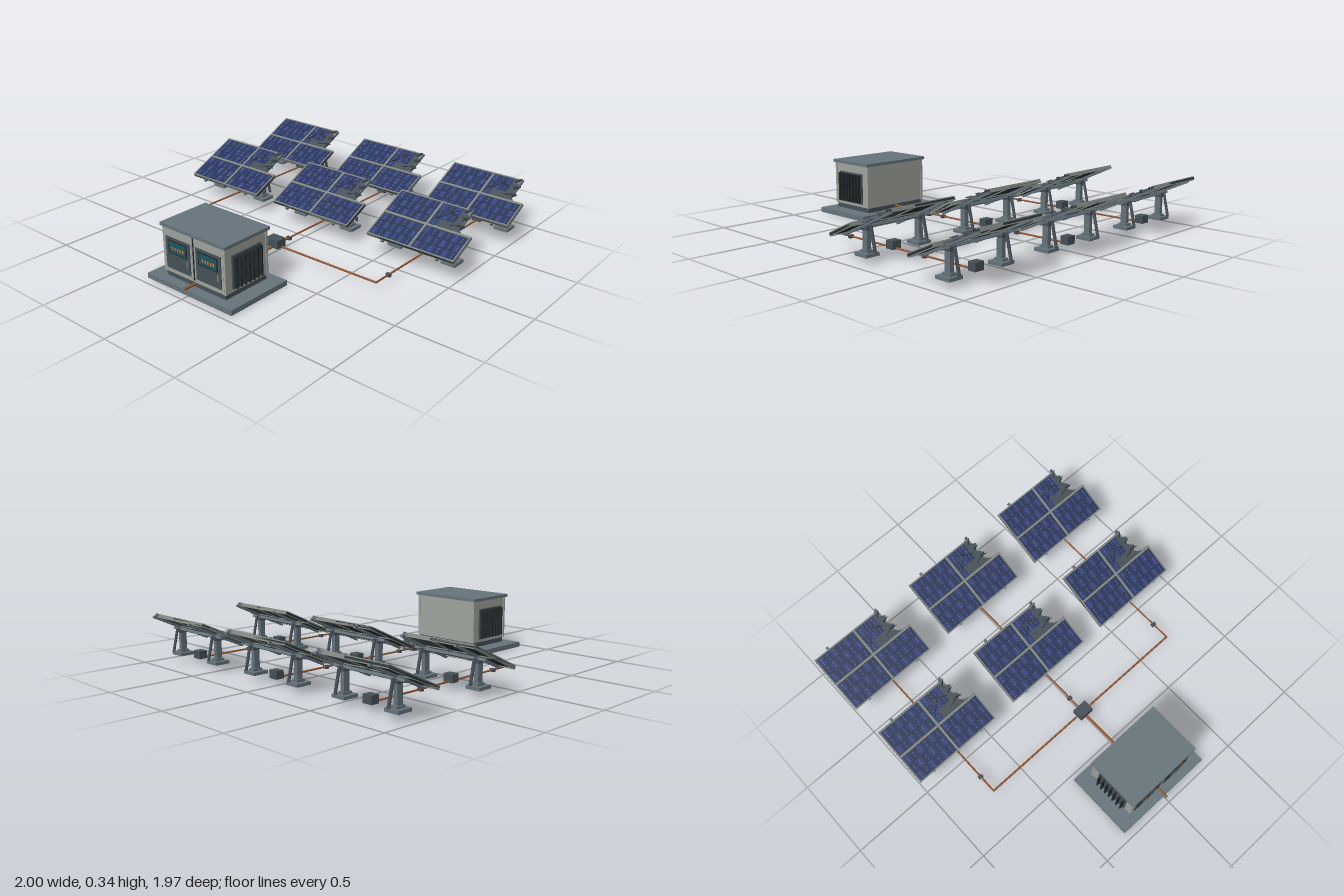
import * as THREE from 'three';
import { mergeGeometries } from 'three/addons/utils/BufferGeometryUtils.js';

const mat = (color, side = THREE.FrontSide) => new THREE.MeshStandardMaterial({ color, side });
const M = {
  concrete: mat(0x66747b), dark: mat(0x465056), body: mat(0x9fa39c), frame: mat(0x7f857f),
  steel: mat(0x64727a), back: mat(0x2b3234), cellA: mat(0x2f3c72), cellB: mat(0x26365f),
  busbar: mat(0x8b90a0), cable: mat(0x94562f), screen: mat(0x1f5560), light: mat(0xd07a35),
  black: mat(0x23292b),
};

const boxGeo = (w, h, d, x, y, z) => new THREE.BoxGeometry(w, h, d).translate(x, y, z);

function add(parent, name, geometry, material) {
  const mesh = new THREE.Mesh(geometry, material);
  mesh.name = name;
  parent.add(mesh);
  return mesh;
}
const box = (parent, name, material, w, h, d, x, y, z) =>
  add(parent, name, boxGeo(w, h, d, x, y, z), material);
const merged = (parent, name, material, list) => add(parent, name, mergeGeometries(list), material);

function rod(parent, name, material, a, b, r, sides = 8) {
  const p = new THREE.Vector3(...a), q = new THREE.Vector3(...b);
  const mesh = add(parent, name, new THREE.CylinderGeometry(r, r, p.distanceTo(q), sides), material);
  mesh.position.copy(p).add(q).multiplyScalar(0.5);
  mesh.quaternion.setFromUnitVectors(new THREE.Vector3(0, 1, 0), q.sub(p).normalize());
  return mesh;
}

// Tilted panel table: four quadrants, the upper right one shattered
const HW = 0.285, HL = 0.188, TILT = THREE.MathUtils.degToRad(25);
const BROKEN_ROWS = [3, 3, 1]; // cells left in each row of the shattered quadrant

function createTable() {
  const table = new THREE.Group();
  table.name = 'panelTable';
  const slabs = [], cells = [[], []], bars = [], frames = [];
  const cw = (HW - 0.016) / 6, cd = (HL - 0.016) / 3;
  for (const sx of [-1, 1]) for (const sz of [-1, 1]) {
    const broken = sx > 0 && sz < 0;
    if (!broken) slabs.push(boxGeo(HW, 0.012, HL, sx * HW / 2, 0, sz * HL / 2));
    for (let r = 0; r < 3; r++) for (let c = 0; c < (broken ? BROKEN_ROWS[r] : 6); c++) {
      const x = (sx < 0 ? -HW : 0) + 0.008 + (c + 0.5) * cw;
      const z = (sz < 0 ? -HL : 0) + 0.008 + (r + 0.5) * cd;
      cells[(c + r) % 2].push(boxGeo(cw - 0.004, 0.003, cd - 0.004, x, 0.0072, z));
      bars.push(boxGeo(0.0015, 0.001, cd * 0.8, x, 0.009, z));
    }
  }
  merged(table, 'panelBacking', M.back, slabs);
  merged(table, 'cellsLight', M.cellA, cells[0]);
  merged(table, 'cellsDark', M.cellB, cells[1]);
  merged(table, 'busbars', M.busbar, bars);

  // Aluminium edge and divider strips
  frames.push(
    boxGeo(0.008, 0.022, HL * 2, -HW + 0.004, 0, 0), boxGeo(0.008, 0.022, HL, HW - 0.004, 0, HL / 2),
    boxGeo(0.014, 0.022, HL * 2, 0, 0, 0), boxGeo(HW * 2, 0.022, 0.014, 0, 0, 0),
    boxGeo(HW * 2, 0.022, 0.008, 0, 0, HL - 0.004), boxGeo(HW + 0.17, 0.022, 0.008, -0.0575, 0, -HL + 0.004));
  merged(table, 'panelFrame', M.frame, frames);

  // Jagged remains of the shattered quadrant
  const edge = [[0, 0], [0.225, 0.005], [0.187, 0.04], [0.213, 0.065], [0.175, 0.1], [0.205, 0.137],
    [0.162, 0.158], [0.182, 0.198], [0.15, 0.186], [0, 0.186]];
  const shape = new THREE.Shape(edge.map(([x, y]) => new THREE.Vector2(x, y)));
  const shard = new THREE.ExtrudeGeometry(shape, { depth: 0.012, bevelEnabled: false });
  add(table, 'shatteredPanel', shard.rotateX(-Math.PI / 2).translate(0, -0.006, 0), M.dark);
  const cracks = [[0.07, -0.1, 0.8, 0.15], [0.11, -0.12, -0.5, 0.09], [0.17, -0.05, 0.3, 0.08]].map(
    ([x, z, a, len]) => boxGeo(len, 0.002, 0.004, 0, 0, 0).rotateY(a).translate(x, 0.0095, z));
  merged(table, 'cracks', M.black, cracks);
  const splinters = [[0.19, -0.12, 0.3], [0.2, -0.055, -0.2], [0.175, -0.175, 0.7]].map(([x, z, a]) =>
    new THREE.ConeGeometry(0.012, 0.05, 3).rotateZ(-1.4).rotateY(a).translate(x, 0.008, z));
  merged(table, 'splinters', M.dark, splinters);

  // Support rails beneath
  for (const s of [-1, 1]) box(table, 'slopeRail', M.steel, 0.016, 0.014, HL * 2 + 0.024, s * 0.18, -0.014, -0.004);
  box(table, 'crossRail', M.steel, 0.48, 0.016, 0.024, 0, -0.024, 0);
  table.rotation.x = TILT;
  table.position.y = 0.214;
  return table;
}

function createArray() {
  const g = new THREE.Group();
  g.name = 'solarArray';
  g.add(createTable());
  for (const s of [-1, 1]) {
    const x = s * 0.18;
    box(g, 'foot', M.steel, 0.09, 0.018, 0.094, x, 0.045, 0);
    box(g, 'footCollar', M.steel, 0.04, 0.014, 0.055, x, 0.06, 0);
    box(g, 'post', M.steel, 0.026, 0.14, 0.036, x, 0.125, 0);
    box(g, 'postHead', M.dark, 0.034, 0.026, 0.052, x, 0.184, 0.002);
    rod(g, 'brace', M.dark, [x, 0.2, -0.034], [x, 0.062, -0.066], 0.009, 6);
  }
  box(g, 'combinerBox', M.dark, 0.06, 0.046, 0.05, 0, 0.063, 0);
  box(g, 'combinerPlate', M.screen, 0.042, 0.024, 0.004, 0, 0.064, 0.026);
  return g;
}

// Equipment cabin on its slab
function createCabin() {
  const g = new THREE.Group();
  g.name = 'cabin';
  const z = 0.742;
  box(g, 'slab', M.concrete, 0.636, 0.03, 0.424, 0, 0.015, z);
  box(g, 'plinth', M.dark, 0.445, 0.032, 0.305, 0, 0.045, z);
  box(g, 'walls', M.body, 0.455, 0.265, 0.315, 0, 0.192, z);
  box(g, 'roof', M.concrete, 0.486, 0.018, 0.336, 0, 0.333, z);
  for (const s of [-1, 1]) for (const e of [-1, 1])
    box(g, 'cornerPost', M.body, 0.014, 0.262, 0.014, s * 0.225, 0.192, z + e * 0.153);
  for (const x of [-0.114, 0.114]) {
    box(g, 'door', M.body, 0.212, 0.25, 0.006, x, 0.195, 0.9);
    box(g, 'doorPanel', M.dark, 0.184, 0.186, 0.006, x, 0.181, 0.904);
    box(g, 'screenBezel', M.black, 0.142, 0.078, 0.005, x, 0.22, 0.907);
    box(g, 'screen', M.screen, 0.128, 0.064, 0.004, x, 0.22, 0.909);
    const lights = [];
    for (let i = 0; i < 5; i++) lights.push(boxGeo(0.01, 0.018, 0.003, x - 0.035 + i * 0.02, 0.215, 0.911));
    merged(g, 'indicatorLights', M.light, lights);
    box(g, 'doorHandle', M.frame, 0.008, 0.032, 0.01, x + 0.074, 0.15, 0.909);
  }
  box(g, 'doorSeam', M.black, 0.005, 0.25, 0.005, 0, 0.195, 0.901);
  // Ventilation slats on both sides
  for (const s of [-1, 1]) {
    box(g, 'ventFrame', M.dark, 0.012, 0.192, 0.215, s * 0.231, 0.175, z + 0.003);
    const slats = [];
    for (let i = 0; i < 7; i++) slats.push(boxGeo(0.022, 0.178, 0.009, s * 0.246, 0.175, 0.652 + i * 0.031));
    merged(g, 'ventSlats', M.black, slats);
  }
  return g;
}

export function createModel() {
  const model = new THREE.Group();
  model.name = 'solarStation';
  const array = createArray();
  for (const x of [-0.713, 0, 0.713]) {
    for (const z of [-0.206, -0.8]) {
      const copy = array.clone();
      copy.position.set(x, 0, z);
      model.add(copy);
    }
    // Column cable with its couplers
    rod(model, 'columnCable', M.cable, [x, 0.044, -0.8], [x, 0.044, 0.265], 0.0055);
    for (const z of [0.15, -0.445]) box(model, 'cableCoupler', M.dark, 0.028, 0.018, 0.02, x, 0.043, z);
  }
  rod(model, 'crossCable', M.cable, [-0.717, 0.044, 0.265], [0.717, 0.044, 0.265], 0.006);
  box(model, 'junctionBox', M.dark, 0.09, 0.052, 0.068, 0, 0.064, 0.266);
  // Feed cable into and through the cabin
  const path = new THREE.CatmullRomCurve3([[0.04, 0.29], [0.043, 0.42], [0.049, 0.6], [0.05, 0.975]]
    .map(([y, z]) => new THREE.Vector3(0, y, z)));
  add(model, 'feedCable', new THREE.TubeGeometry(path, 20, 0.008, 8), M.cable);
  rod(model, 'feedCableEnd', M.cable, [0, 0.05, 0.96], [0, 0.05, 0.975], 0.008);
  model.add(createCabin());
  return model;
}
